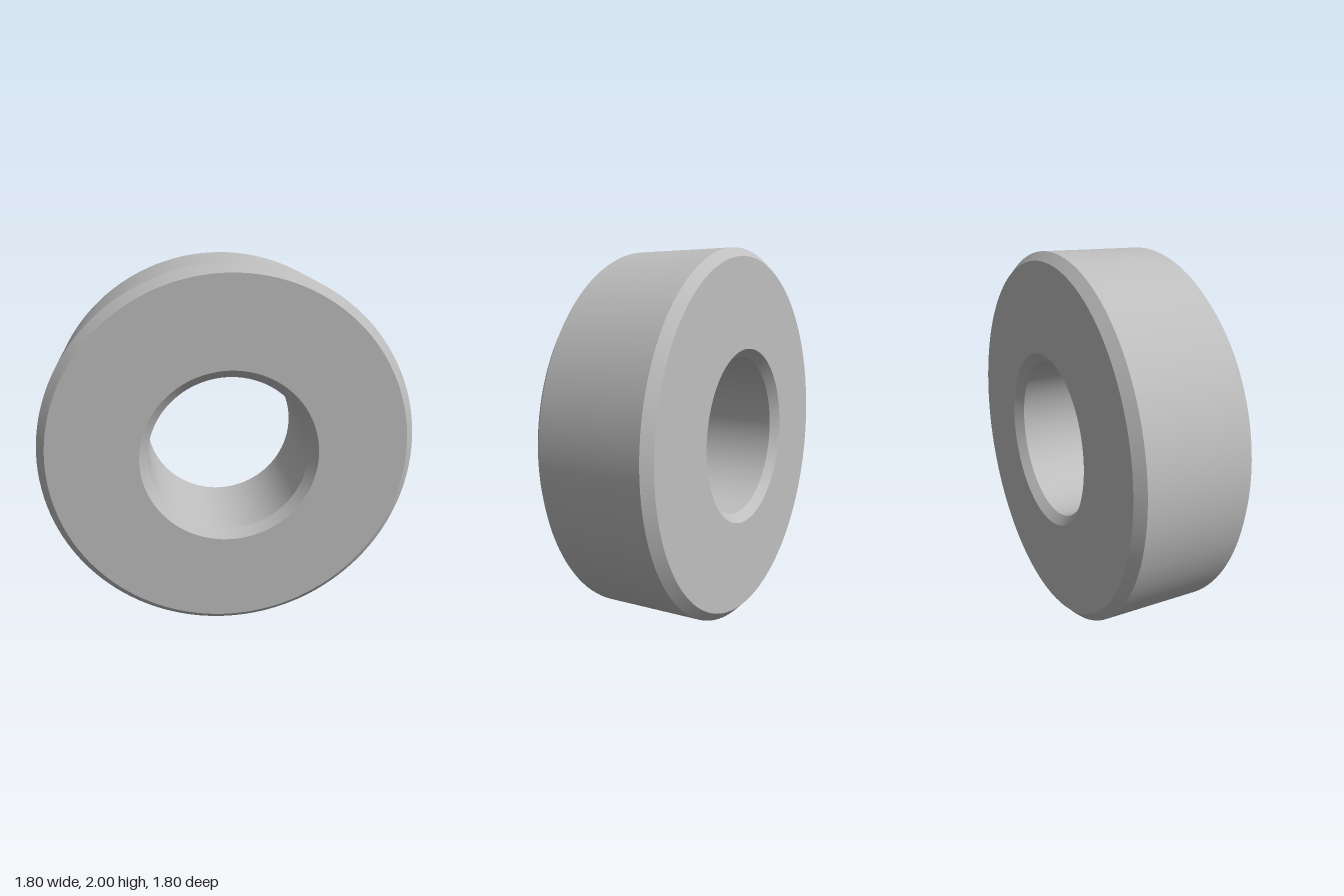
import * as THREE from 'three';

const OUTER = 1, BORE = 0.43, HALF = 0.32, CHAMFER = 0.045, SEGMENTS = 128;

export function createModel() {
  const steel = new THREE.MeshStandardMaterial({ color: 0xbfbfbf });
  steel.name = 'light grey';

  const ring = new THREE.Group();
  ring.name = 'chamferedRing';

  // Closed ring profile as [name, radius, axial position]; each entry starts a surface
  const a = HALF - CHAMFER;
  const profile = [
    ['outerRim', OUTER, -a],
    ['frontOuterChamfer', OUTER, a],
    ['frontFace', OUTER - CHAMFER, HALF],
    ['frontBoreChamfer', BORE + CHAMFER, HALF],
    ['bore', BORE, a],
    ['backBoreChamfer', BORE, -a],
    ['backFace', BORE + CHAMFER, -HALF],
    ['backOuterChamfer', OUTER - CHAMFER, -HALF],
  ];

  // Separate lathed bands keep the edges sharp and the round surfaces smooth
  profile.forEach(([name, r, y], i) => {
    const [, r2, y2] = profile[(i + 1) % profile.length];
    const points = [new THREE.Vector2(r, y), new THREE.Vector2(r2, y2)];
    const geometry = new THREE.LatheGeometry(points, SEGMENTS);
    geometry.rotateX(Math.PI / 2);
    const mesh = new THREE.Mesh(geometry, steel);
    mesh.name = name;
    ring.add(mesh);
  });

  // Standing on its rim, turned halfway between front and left
  ring.rotation.y = Math.PI / 4;
  ring.position.y = OUTER;

  const model = new THREE.Group();
  model.name = 'ringModel';
  model.add(ring);
  return model;
}
